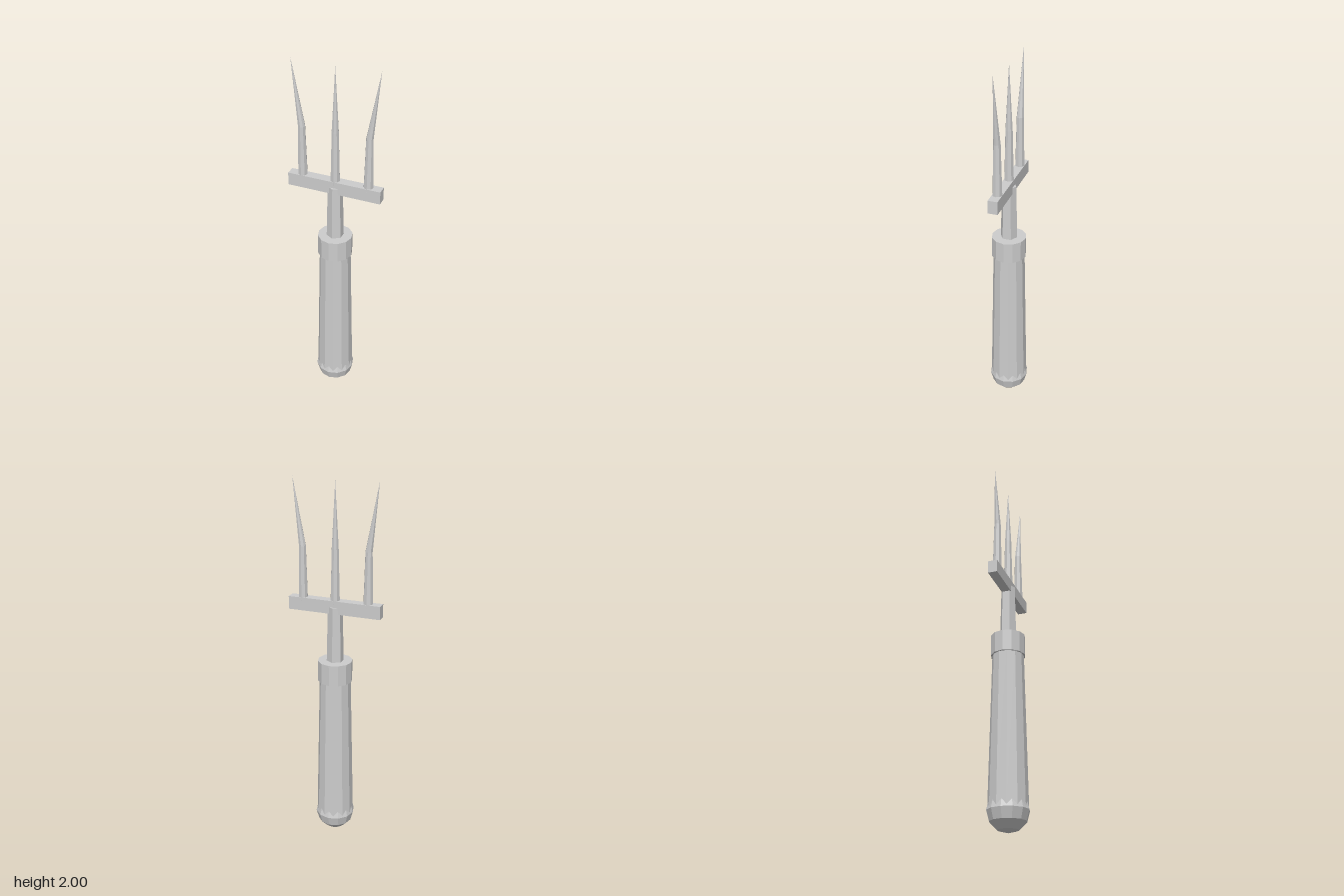
import * as THREE from 'three';

export function createModel() {
  const group = new THREE.Group();
  const metal = new THREE.MeshStandardMaterial({ color: 0xcccccc, flatShading: true });
  metal.name = 'light grey';

  const add = (name, geometry, x, y, turn = 0) => {
    const mesh = new THREE.Mesh(geometry, metal);
    mesh.name = name;
    mesh.position.set(x, y, 0);
    mesh.rotation.y = turn;
    group.add(mesh);
    return mesh;
  };
  // Tapered upright post between two heights
  const post = (name, rTop, rBottom, y0, y1, sides, turn = 0) =>
    add(name, new THREE.CylinderGeometry(rTop, rBottom, y1 - y0, sides), 0, (y0 + y1) / 2, turn);

  // Handle: rounded butt, tapered grip turned half a facet, and collar
  add('handleButt', new THREE.SphereGeometry(0.109, 12, 6), 0, 0.109);
  post('handleGrip', 0.084, 0.103, 0.109, 0.95, 12, Math.PI / 12);
  post('handleCollar', 0.093, 0.093, 0.93, 1.045, 12);

  // Hexagonal shaft and crossbar
  post('shaft', 0.039, 0.046, 1.04, 1.345, 6);
  add('crossbar', new THREE.BoxGeometry(0.505, 0.07, 0.051), 0, 1.345);

  // Prong: slim post whose pointed end leans outward by the given amount
  const prong = (name, x, lean, tipY) => {
    const bend = 1.65, base = 1.36;
    const profile = [[0, base], [0.026, base], [0.019, bend], [0, tipY]]
      .map(([r, y]) => new THREE.Vector2(r, y));
    const geometry = new THREE.LatheGeometry(profile, 8);
    const p = geometry.attributes.position;
    for (let i = 0; i < p.count; i++) {
      const t = Math.max(0, (p.getY(i) - bend) / (tipY - bend));
      p.setX(i, p.getX(i) + lean * t);
    }
    geometry.computeVertexNormals();
    add(name, geometry, x, 0);
  };
  prong('middleProng', 0, 0, 1.99);
  prong('leftProng', 0.18, 0.049, 2);
  prong('rightProng', -0.18, -0.049, 2);

  return group;
}
